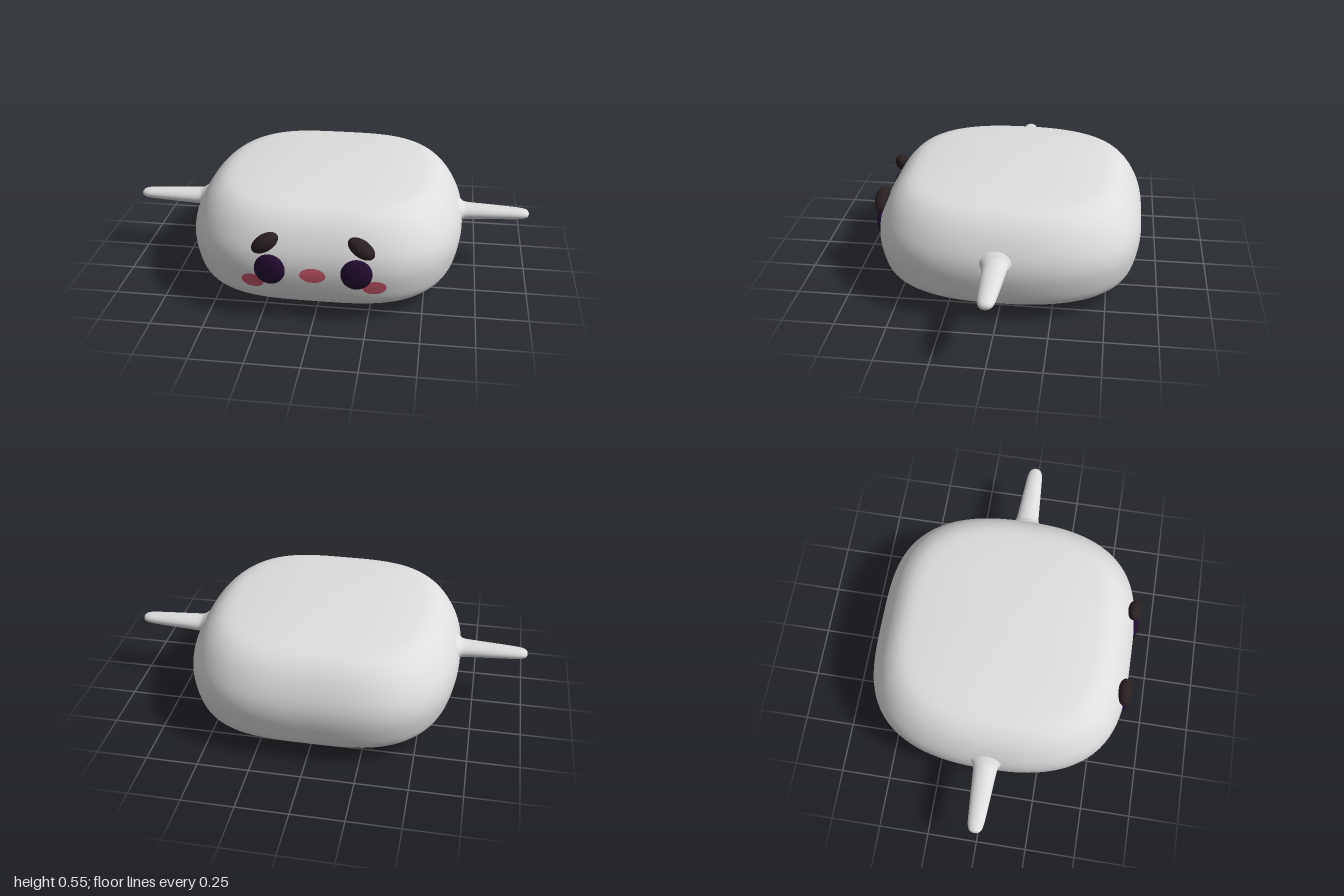
import * as THREE from 'three';

const mat = (name, color) => Object.assign(new THREE.MeshStandardMaterial({ color }), { name });

// Body plan: a rounded square whose sides bulge more than its front and back
const A = 0.67, FRONT = 0.64, BACK = 0.66, P = 3.4, Q = 2.4;

// Body profile from bottom to top: [plan scale, height]
const profile = new THREE.CatmullRomCurve3([
  [0, 0], [0.3, 0.008], [0.6, 0.028], [0.8, 0.052], [0.91, 0.08], [0.955, 0.115],
  [0.985, 0.18], [1, 0.26], [0.985, 0.33], [0.93, 0.41], [0.86, 0.47], [0.77, 0.51],
  [0.6, 0.53], [0.3, 0.542], [0, 0.546],
].map(([s, y]) => new THREE.Vector3(s, y, 0)), false, 'centripetal').getPoints(70);

// Distance from the centre to the plan outline in direction t
function planRadius(t) {
  const c = Math.abs(Math.cos(t)) / A;
  const s = Math.abs(Math.sin(t)) / (Math.sin(t) > 0 ? FRONT : BACK);
  let lo = 0, hi = 1.2;
  for (let k = 0; k < 30; k++) {
    const r = (lo + hi) / 2;
    if ((r * c) ** P + (r * s) ** Q < 1) lo = r; else hi = r;
  }
  return lo;
}

// Depth of the body's front face at (x, y)
function frontZ(x, y) {
  const k = Math.max(1, profile.findIndex((p) => p.y >= y));
  const p = profile[k - 1], q = profile[k];
  const s = p.x + (q.x - p.x) * (y - p.y) / (q.y - p.y);
  return s * FRONT * (1 - (Math.abs(x) / (s * A)) ** P) ** (1 / Q);
}

// Stack scaled plan outlines along the profile
function bodyGeometry() {
  const N = 120, pos = [], index = [];
  for (const { x: s, y } of profile) {
    for (let i = 0; i < N; i++) {
      const t = i / N * Math.PI * 2, r = planRadius(t) * Math.max(s, 1e-4);
      pos.push(r * Math.cos(t), y, r * Math.sin(t));
    }
  }
  for (let j = 0; j < profile.length - 1; j++) {
    for (let i = 0; i < N; i++) {
      const a = j * N + i, b = j * N + (i + 1) % N, c = a + N, d = b + N;
      index.push(a, c, b, b, c, d);
    }
  }
  const g = new THREE.BufferGeometry();
  g.setAttribute('position', new THREE.Float32BufferAttribute(pos, 3));
  g.setIndex(index);
  g.computeVertexNormals();
  return g;
}

// Oval painted spot that follows the front of the body
function spotGeometry(cx, cy, rx, ry) {
  const g = new THREE.RingGeometry(0.001, 1, 40, 4), p = g.attributes.position;
  for (let i = 0; i < p.count; i++) {
    const x = cx + p.getX(i) * rx, y = cy + p.getY(i) * ry;
    p.setXYZ(i, x, y, frontZ(x, y) + 0.005);
  }
  g.computeVertexNormals();
  return g;
}

export function createModel() {
  const group = new THREE.Group();
  const white = mat('soft white', 0xdedede);
  const eyeMat = mat('dark purple', 0x220c30);
  const browMat = mat('dark brown', 0x2a2022);
  const blush = mat('blush pink', 0xc4566a);
  const mouthMat = mat('mouth pink', 0xd25a6e);

  const add = (name, geometry, material) => {
    const m = new THREE.Mesh(geometry, material);
    m.name = name;
    group.add(m);
    return m;
  };

  add('body', bodyGeometry(), white);
  add('mouth', spotGeometry(0, 0.25, 0.06, 0.037), mouthMat);

  // Arm: flared root tapering to a rounded tip
  const armProfile = [[0.115, 0.62], [0.08, 0.655], [0.063, 0.675], [0.057, 0.71], [0.051, 0.8],
    [0.044, 0.9], [0.039, 0.955], [0.03, 0.985], [0.016, 0.997], [0, 1]];
  const curve = new THREE.SplineCurve(armProfile.map(([r, h]) => new THREE.Vector2(r, h)));
  const armGeometry = new THREE.LatheGeometry(
    curve.getPoints(40).map((v) => new THREE.Vector2(Math.max(0, v.x), v.y)), 32);
  const ball = new THREE.SphereGeometry(1, 32, 20);

  for (const [side, k] of [['left', 1], ['right', -1]]) {
    const arm = add(side + 'Arm', armGeometry, white);
    arm.rotation.z = -k * Math.PI / 2;
    arm.scale.set(0.67, 1, 1);
    arm.position.y = 0.315;

    const eye = add(side + 'Eye', ball, eyeMat);
    eye.scale.set(0.073, 0.075, 0.026);
    eye.position.set(k * 0.2, 0.265, 0.633);
    eye.rotation.y = k * 0.08;

    const brow = add(side + 'Brow', ball, browMat);
    brow.scale.set(0.07, 0.04, 0.036);
    brow.position.set(k * 0.22, 0.394, 0.622);
    brow.rotation.set(-0.3, k * 0.1, -k * 0.6);

    add(side + 'Cheek', spotGeometry(k * 0.283, 0.196, 0.054, 0.036), blush);
  }
  return group;
}
